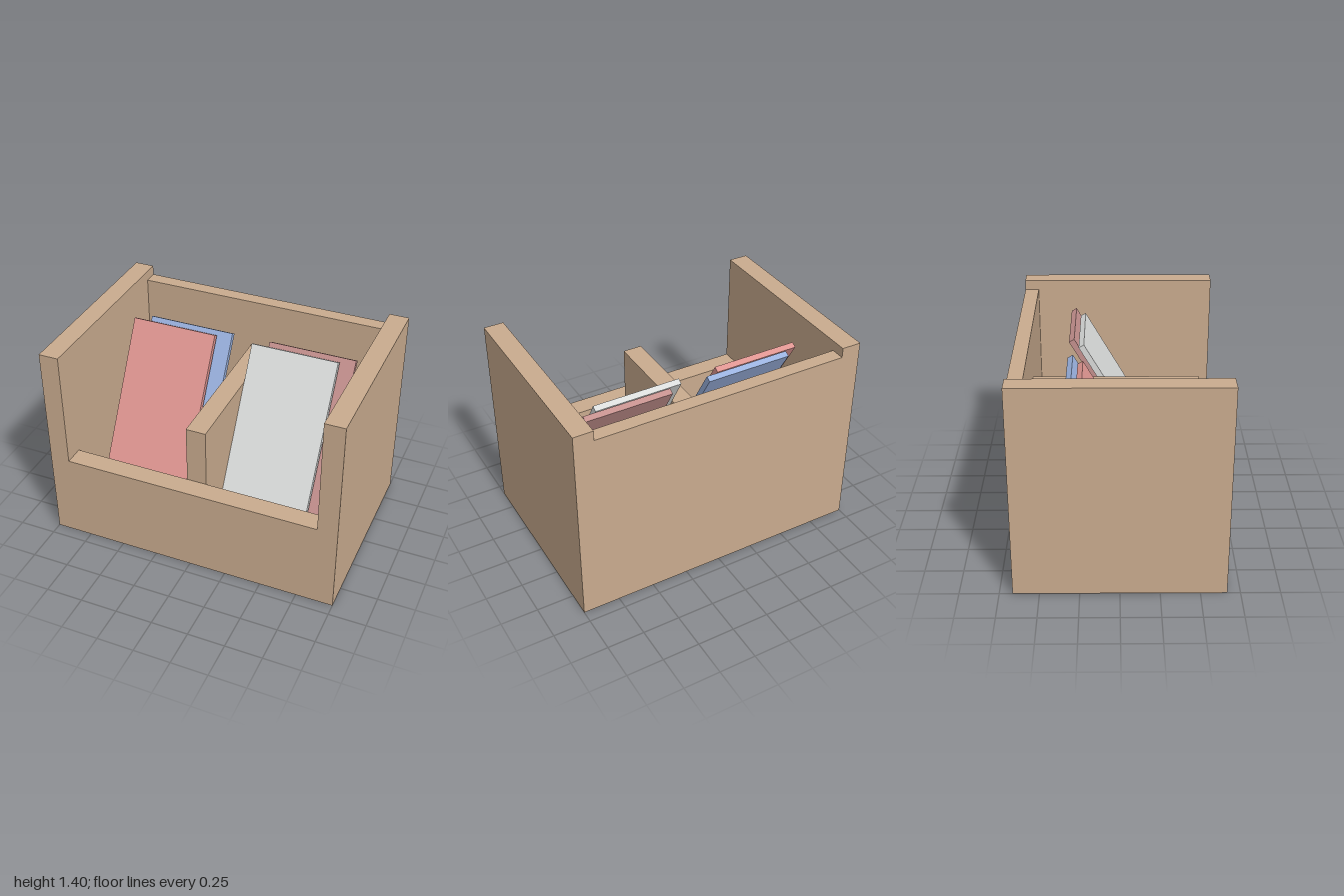
import * as THREE from 'three';

const material = (name, color) => {
  const m = new THREE.MeshStandardMaterial({ color });
  m.name = name;
  return m;
};

export function createModel() {
  const model = new THREE.Group();
  model.name = 'dividedCrate';

  const wood = material('tan wood', 0xc9ab8e);
  const red = material('soft red', 0xde9591);
  const blue = material('soft blue', 0x9ab1de);
  const white = material('pale grey', 0xdadcdb);
  const mauve = material('dusty mauve', 0xc5918e);

  // Box given by its minimum and maximum corners
  const panel = (name, [x0, y0, z0], [x1, y1, z1]) => {
    const mesh = new THREE.Mesh(new THREE.BoxGeometry(x1 - x0, y1 - y0, z1 - z0), wood);
    mesh.name = name;
    mesh.position.set((x0 + x1) / 2, (y0 + y1) / 2, (z0 + z1) / 2);
    model.add(mesh);
  };

  // Crate: tall sides, slightly lower back, low front, centre divider
  const X = 1, Z = 0.667, inX = 0.867, inFront = 0.533, inBack = -0.572, floorTop = 0.133;
  panel('rightSide', [-X, 0, -Z], [-inX, 1.4, Z]);
  panel('leftSide', [inX, 0, -Z], [X, 1.4, Z]);
  panel('floor', [-inX, 0, inBack], [inX, floorTop, inFront]);
  panel('frontWall', [-inX, 0, inFront], [inX, 0.6, Z]);
  panel('backWall', [-inX, 0, -Z], [inX, 1.333, inBack]);
  panel('divider', [-0.067, floorTop, inBack], [0.067, 1, inFront]);

  // Thin sleeves leaning back by 30 degrees
  const sleeveGeometry = new THREE.BoxGeometry(0.6, 1.2, 0.04);
  const sleeves = [
    ['redSleeve', -0.5, 0.052, red],
    ['blueSleeve', -0.4, -0.015, blue],
    ['paleSleeve', 0.367, 0.052, white],
    ['mauveSleeve', 0.467, -0.015, mauve],
  ];
  for (const [name, x, z, mat] of sleeves) {
    const sleeve = new THREE.Mesh(sleeveGeometry, mat);
    sleeve.name = name;
    sleeve.position.set(x, 0.697, z);
    sleeve.rotation.x = -Math.PI / 6;
    model.add(sleeve);
  }

  return model;
}
